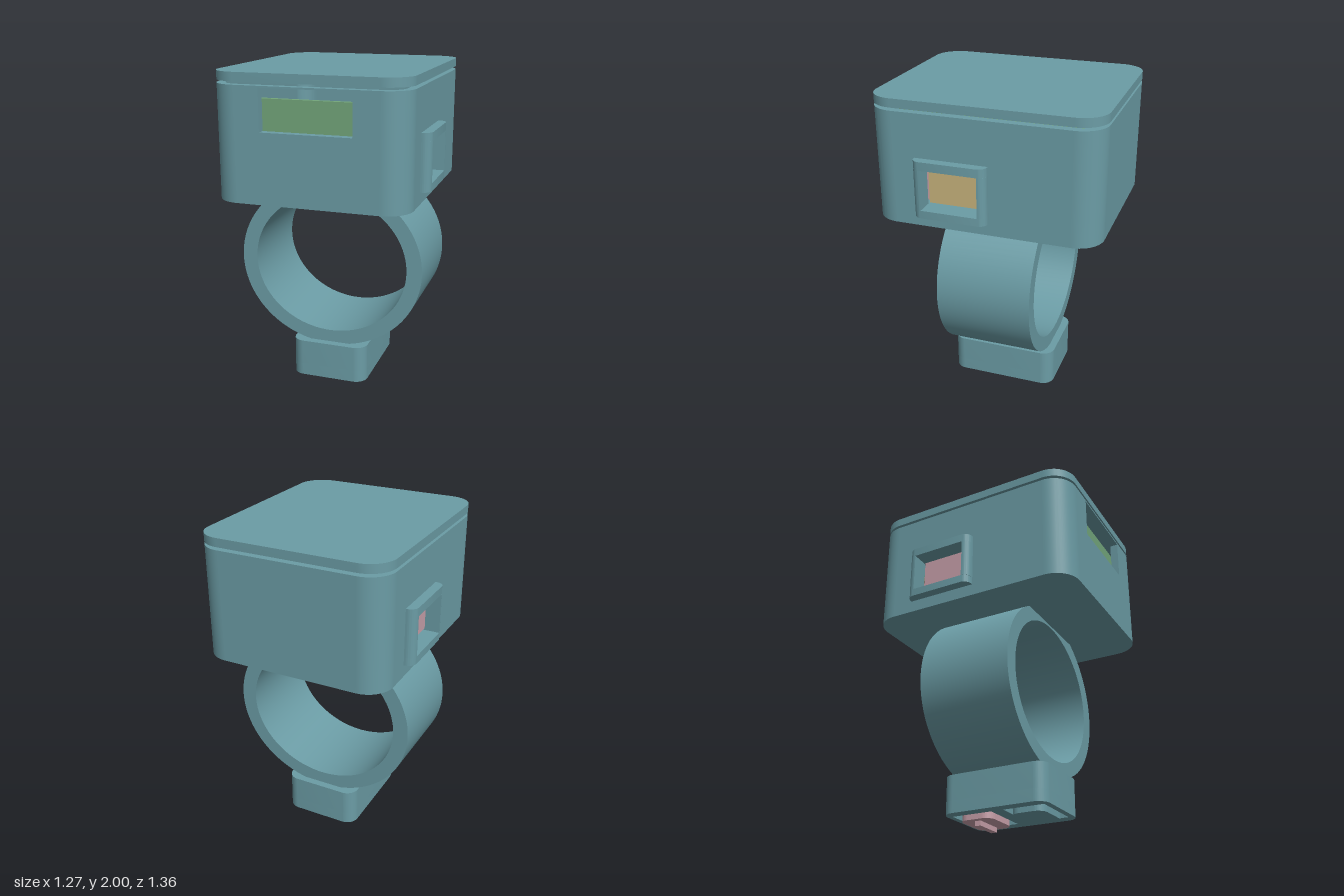
import * as THREE from 'three';
import { toCreasedNormals } from 'three/addons/utils/BufferGeometryUtils.js';

const mat = (name, color) => new THREE.MeshStandardMaterial({ name, color });

// Rectangle with rounded corners; r = [x0y0, x1y0, x1y1, x0y1]
function roundRect(x0, x1, y0, y1, r) {
  const [a, b, c, d] = Array.isArray(r) ? r : [r, r, r, r];
  const s = new THREE.Shape();
  s.moveTo(x0 + a, y0).lineTo(x1 - b, y0);
  if (b) s.absarc(x1 - b, y0 + b, b, -Math.PI / 2, 0);
  s.lineTo(x1, y1 - c);
  if (c) s.absarc(x1 - c, y1 - c, c, 0, Math.PI / 2);
  s.lineTo(x0 + d, y1);
  if (d) s.absarc(x0 + d, y1 - d, d, Math.PI / 2, Math.PI);
  s.lineTo(x0, y0 + a);
  if (a) s.absarc(x0 + a, y0 + a, a, Math.PI, Math.PI * 1.5);
  return s;
}

function extrude(shape, depth, curveSegments = 12) {
  return new THREE.ExtrudeGeometry(shape, { depth, bevelEnabled: false, curveSegments });
}

// Extrude a plan shape (x, -z) upwards from y0 to y1
function slab(shape, y0, y1) {
  return toCreasedNormals(extrude(shape, y1 - y0).rotateX(-Math.PI / 2).translate(0, y0, 0), 0.5);
}

export function createModel() {
  const teal = mat('teal shell', 0x6b9ca5);
  const green = mat('green display', 0x73a67b);
  const yellow = mat('yellow sensor', 0xc8b47c);
  const pink = mat('pink component', 0xc8a0aa);

  const model = new THREE.Group();
  model.name = 'ringDevice';
  const add = (name, geometry, material, parent = model) => {
    const mesh = new THREE.Mesh(geometry, material);
    mesh.name = name;
    parent.add(mesh);
    return mesh;
  };
  const box = (name, x0, x1, y0, y1, z0, z1, material, parent) =>
    add(name, new THREE.BoxGeometry(x1 - x0, y1 - y0, z1 - z0)
      .translate((x0 + x1) / 2, (y0 + y1) / 2, (z0 + z1) / 2), material, parent);

  const W = 0.577, D = 0.678, R = 0.155, T = 0.05, Y0 = 1.26, Y1 = 1.93;

  // Lid and floor of the case
  add('lid', slab(roundRect(-W, W, -D, D, R), 1.948, 2), teal);
  add('caseFloor', slab(roundRect(-W + 0.001, W - 0.001, -D + 0.001, D - 0.001, R), Y0, 1.34), teal);

  // Rounded corner posts of the case
  for (let i = 0; i < 4; i++) {
    const sx = i === 0 || i === 3 ? 1 : -1, sy = i < 2 ? 1 : -1;
    const a = i * Math.PI / 2, b = a + Math.PI / 2;
    const cx = sx * (W - R), cy = sy * (D - R);
    const s = new THREE.Shape();
    s.absarc(cx, cy, R, a, b, false);
    s.absarc(cx, cy, R - T, b, a, true);
    add('caseCorner', slab(s, Y0, Y1), teal);
  }

  // Front wall with the display window, plain back wall
  const front = roundRect(-W + R, W - R, Y0, Y1, 0);
  front.holes.push(roundRect(-0.27, 0.27, 1.675, 1.92, 0));
  add('frontWall', extrude(front, T).translate(0, 0, D - T), teal);
  box('backWall', -W + R, W - R, Y0, Y1, -D, -D + T, teal);
  box('display', -0.3, 0.3, 1.62, 1.855, 0.59, 0.62, green);

  // Side walls, each with a raised sensor frame; the second is turned half round
  [yellow, pink].forEach((sensorMaterial, i) => {
    const side = new THREE.Group();
    side.name = i ? 'leftOrRightSideTurned' : 'sensorSide';
    side.name = i ? 'oppositeSensorSide' : 'sensorSide';
    side.rotation.y = i * Math.PI;
    model.add(side);

    const wall = roundRect(-D + R, D - R, Y0, Y1, 0);
    wall.holes.push(roundRect(-0.34, 0, 1.38, 1.622, 0));
    add('sideWall', extrude(wall, T).rotateY(Math.PI / 2).translate(W - T, 0, 0), teal, side);

    const x0 = W - 0.01, x1 = 0.634, r = 0.05;
    const full = roundRect(x0, x1, -0.39, 0.047, [0, r, r, 0]);
    add('frameBottom', slab(full, 1.333, 1.38), teal, side);
    add('frameTop', slab(full, 1.622, 1.673), teal, side);
    add('frameFrontPost', slab(roundRect(x0, x1, -0.39, -0.34, [0, 0.049, 0, 0]), 1.38, 1.622), teal, side);
    add('frameBackPost', slab(roundRect(x0, x1, 0, 0.047, [0, 0, 0.046, 0]), 1.38, 1.622), teal, side);
    box('sensor', 0.52, 0.55, 1.4, 1.608, 0.02, 0.32, sensorMaterial, side);
  });

  // Parts inside the case, glimpsed through the openings
  box('battery', -0.4, 0.4, 1.345, 1.57, -0.45, 0.45, pink);
  box('circuitBoard', -0.42, 0.42, 1.575, 1.615, -0.5, 0.5, green);

  // Oval finger ring
  const band = new THREE.Shape().absellipse(0, 0.805, 0.581, 0.53, 0, Math.PI * 2);
  band.holes.push(new THREE.Path().absellipse(0, 0.805, 0.486, 0.44, 0, Math.PI * 2));
  add('fingerRing', toCreasedNormals(extrude(band, 0.58, 48).translate(0, 0, -0.29), 0.5), teal);

  // Lower block with two pockets in its underside
  const block = () => roundRect(-0.24, 0.24, -0.338, 0.335, 0.075);
  const rim = block();
  for (const s of [-1, 1]) rim.holes.push(roundRect(-0.165, 0.165, s * 0.17 - 0.13, s * 0.17 + 0.13, 0));
  add('blockRim', slab(rim, 0.055, 0.13), teal);
  add('blockTop', slab(block(), 0.13, 0.288), teal);

  // Push button and slotted plug set in the pockets
  add('frontButton', slab(roundRect(-0.14, 0.14, -0.28, -0.065, 0.06), 0.03, 0.135), teal);
  add('backPlug', slab(roundRect(-0.14, 0.14, 0.06, 0.275, 0.06), 0.03, 0.135), pink);
  box('plugKey', -0.098, 0.098, 0, 0.035, -0.187, -0.148, pink);

  return model;
}
